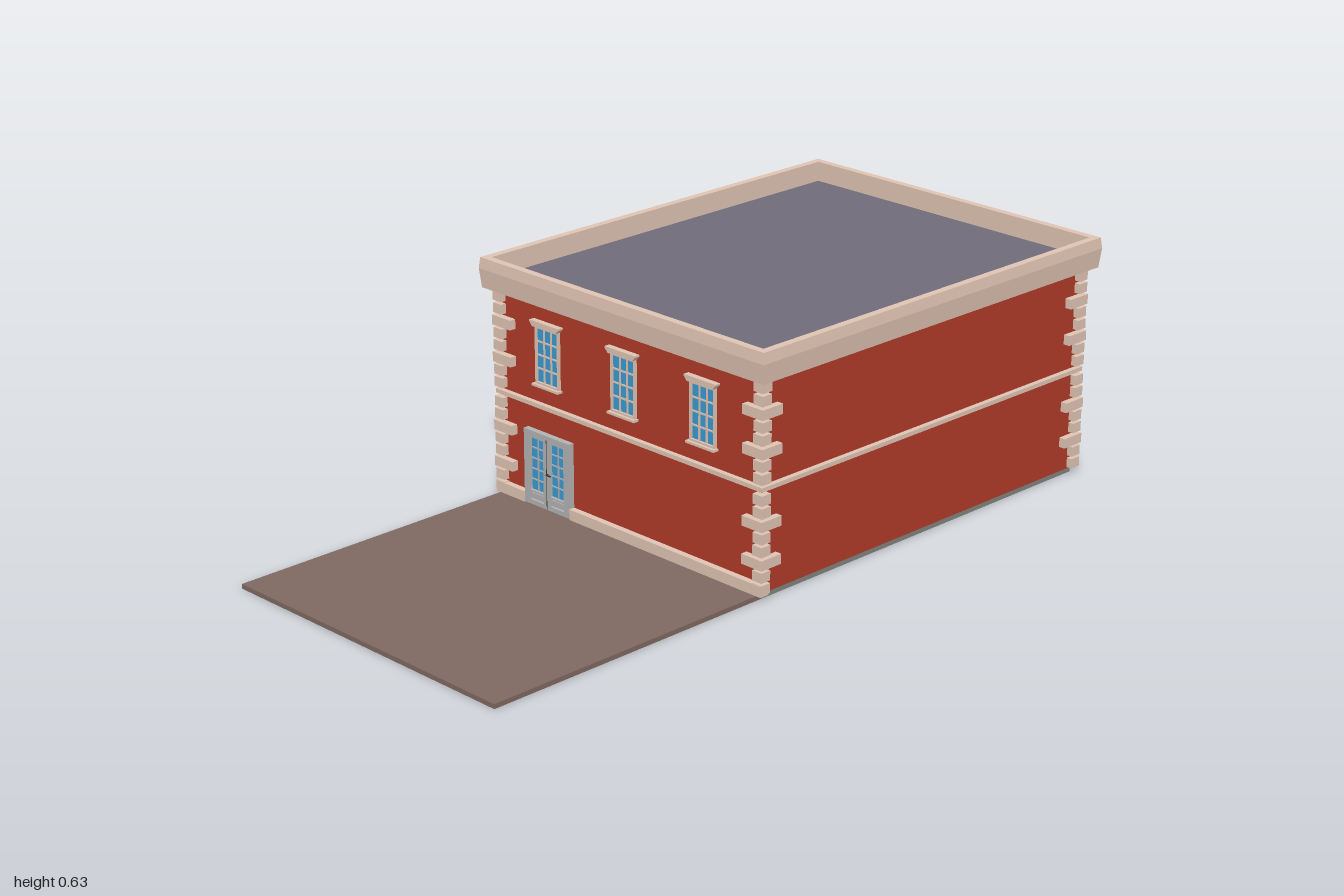
import * as THREE from 'three';

const mat = (color) => new THREE.MeshStandardMaterial({ color });
const BRICK = mat(0xb03a28), TRIM = mat(0xdfc3b2), ROOF = mat(0x706b79), PAVING = mat(0x7f6861);
const CONCRETE = mat(0x80807c), GLASS = mat(0x3a9ad2), DOOR = mat(0xb2b2b2), DARK = mat(0x3a3a3a);

// Building footprint: half width, half depth and centre in z
const HX = 0.447, HZ = 0.567, CZ = -0.394;

function add(parent, name, geometry, material) {
  const mesh = new THREE.Mesh(geometry, material);
  mesh.name = name;
  parent.add(mesh);
  return mesh;
}

// Box given by its minimum and maximum corners
function block(parent, name, material, [x0, x1], [y0, y1], [z0, z1]) {
  const mesh = add(parent, name, new THREE.BoxGeometry(x1 - x0, y1 - y0, z1 - z0), material);
  mesh.position.set((x0 + x1) / 2, (y0 + y1) / 2, (z0 + z1) / 2);
  return mesh;
}

// Sweeps a closed profile of [offset from wall, height] around the footprint with mitred corners
function ringGeometry(profile) {
  const corners = [[1, 1], [1, -1], [-1, -1], [-1, 1]];
  const point = (c, [d, y]) => [c[0] * (HX + d), y, CZ + c[1] * (HZ + d)];
  const positions = [];
  corners.forEach((c, i) => {
    const next = corners[(i + 1) % 4];
    profile.forEach((p, j) => {
      const q = profile[(j + 1) % profile.length];
      const a = point(c, p), b = point(next, p), e = point(next, q), f = point(c, q);
      positions.push(...a, ...b, ...e, ...a, ...e, ...f);
    });
  });
  const geometry = new THREE.BufferGeometry();
  geometry.setAttribute('position', new THREE.Float32BufferAttribute(positions, 3));
  geometry.computeVertexNormals();
  return geometry;
}

function rectangle(Type, x0, x1, y0, y1) {
  const path = new Type();
  path.moveTo(x0, y0).lineTo(x1, y0).lineTo(x1, y1).lineTo(x0, y1).closePath();
  return path;
}

// Flat frame with rectangular openings, extruded forward from z = 0
function frameGeometry(outer, openings, depth) {
  const shape = rectangle(THREE.Shape, ...outer);
  shape.holes = openings.map((o) => rectangle(THREE.Path, ...o));
  return new THREE.ExtrudeGeometry(shape, { depth, bevelEnabled: false });
}

// Glazing with evenly spaced bars
function glazing(parent, [x0, x1], [y0, y1], columns, rows, bar, material) {
  block(parent, 'glass', GLASS, [x0, x1], [y0, y1], [-0.004, 0.002]);
  for (let i = 1; i < columns; i++) {
    const x = x0 + ((x1 - x0) * i) / columns;
    block(parent, 'verticalBar', material, [x - bar / 2, x + bar / 2], [y0, y1], [0, 0.005]);
  }
  for (let i = 1; i < rows; i++) {
    const y = y0 + ((y1 - y0) * i) / rows;
    block(parent, 'horizontalBar', material, [x0, x1], [y - bar / 2, y + bar / 2], [0, 0.005]);
  }
}

// Window centred on its own origin, lying against the wall and facing +z
function createWindow() {
  const group = new THREE.Group();
  group.name = 'window';
  add(group, 'windowFrame', frameGeometry([-0.042, 0.042, -0.074, 0.075], [[-0.037, 0.037, -0.069, 0.07]], 0.008), TRIM);
  glazing(group, [-0.037, 0.037], [-0.069, 0.07], 3, 4, 0.004, TRIM);
  block(group, 'sill', TRIM, [-0.047, 0.047], [-0.08, -0.074], [0, 0.016]);
  const lintel = new THREE.Shape();
  lintel.moveTo(-0.042, 0.075).lineTo(0.042, 0.075).lineTo(0.052, 0.086);
  lintel.lineTo(0.052, 0.09).lineTo(-0.052, 0.09).lineTo(-0.052, 0.086).closePath();
  add(group, 'lintel', new THREE.ExtrudeGeometry(lintel, { depth: 0.016, bevelEnabled: false }), TRIM);
  return group;
}

// Double door, centred on x, standing on its own origin
function createDoor() {
  const group = new THREE.Group();
  group.name = 'doubleDoor';
  const leaves = [[-0.061, -0.012], [0.012, 0.061]];
  const openings = leaves.flatMap(([a, b]) => [[a, b, 0.038, 0.178], [a, b, 0.012, 0.033]]);
  add(group, 'doorFrame', frameGeometry([-0.082, 0.082, 0, 0.196], openings, 0.016), DOOR);
  for (const [a, b] of leaves) {
    const leaf = new THREE.Group();
    leaf.name = 'doorLeaf';
    leaf.position.z = 0.006;
    glazing(leaf, [a, b], [0.038, 0.178], 2, 5, 0.003, DOOR);
    block(leaf, 'lowerPanel', DOOR, [a, b], [0.012, 0.033], [-0.004, 0.003]);
    block(leaf, 'raisedPanel', DOOR, [a + 0.003, b - 0.003], [0.015, 0.03], [0, 0.008]);
    group.add(leaf);
  }
  block(group, 'centreSeam', DARK, [-0.0008, 0.0008], [0.002, 0.185], [0.01, 0.0165]);
  block(group, 'handle', DARK, [0.004, 0.02], [0.094, 0.097], [0.02, 0.023]);
  block(group, 'handleStem', DARK, [0.004, 0.007], [0.094, 0.097], [0.016, 0.02]);
  return group;
}

export function createModel() {
  const model = new THREE.Group();
  model.name = 'building';
  const front = CZ + HZ, back = CZ - HZ;

  // Ground, walls and roof
  block(model, 'forecourt', PAVING, [-HX, HX], [0, 0.012], [front, 1]);
  block(model, 'foundation', CONCRETE, [-HX, HX], [0, 0.012], [back, front]);
  block(model, 'walls', BRICK, [-HX, HX], [0.012, 0.57], [back, front]);
  block(model, 'roof', ROOF, [-HX - 0.018, HX + 0.018], [0.56, 0.575], [back - 0.018, front + 0.018]);

  // Trim running round the building
  add(model, 'cornice', ringGeometry([
    [-0.005, 0.55], [0.034, 0.55], [0.039, 0.6], [0.036, 0.628], [0.016, 0.628], [0.016, 0.56], [-0.005, 0.56],
  ]), TRIM);
  add(model, 'storeyBand', ringGeometry([[-0.005, 0.275], [0.014, 0.275], [0.014, 0.286], [-0.005, 0.286]]), TRIM);

  // Corner stones: every third course is long
  const quoins = new THREE.Group();
  quoins.name = 'cornerStones';
  for (const storey of [{ top: 0.531, count: 8 }, { top: 0.254, count: 8 }]) {
    for (let i = 0; i < storey.count; i++) {
      const long = i % 3 === 2;
      const y = storey.top - i * 0.0322;
      const size = long ? 0.066 : 0.03;
      const out = long ? 0.018 : 0.016;
      for (const sx of [-1, 1]) for (const sz of [-1, 1]) {
        const stone = add(quoins, 'cornerStone', new THREE.BoxGeometry(size, 0.0255, size), TRIM);
        stone.position.set(sx * (HX + out - size / 2), y, CZ + sz * (HZ + out - size / 2));
      }
    }
  }
  model.add(quoins);

  // Plinth along the front, broken by the door
  block(model, 'plinthRight', TRIM, [-0.462, -0.357], [0.012, 0.04], [front - 0.01, front + 0.017]);
  block(model, 'plinthLeft', TRIM, [-0.193, 0.462], [0.012, 0.04], [front - 0.01, front + 0.017]);

  const door = createDoor();
  door.position.set(-0.275, 0.014, front);
  model.add(door);

  // Windows: upper floor in front, both floors at the back
  for (const x of [-0.278, -0.01, 0.258]) {
    const upper = createWindow();
    upper.position.set(x, 0.41, front);
    model.add(upper);
    for (const y of [0.41, 0.14]) {
      const rear = createWindow();
      rear.position.set(-x, y, back);
      rear.rotation.y = Math.PI;
      model.add(rear);
    }
  }
  return model;
}
